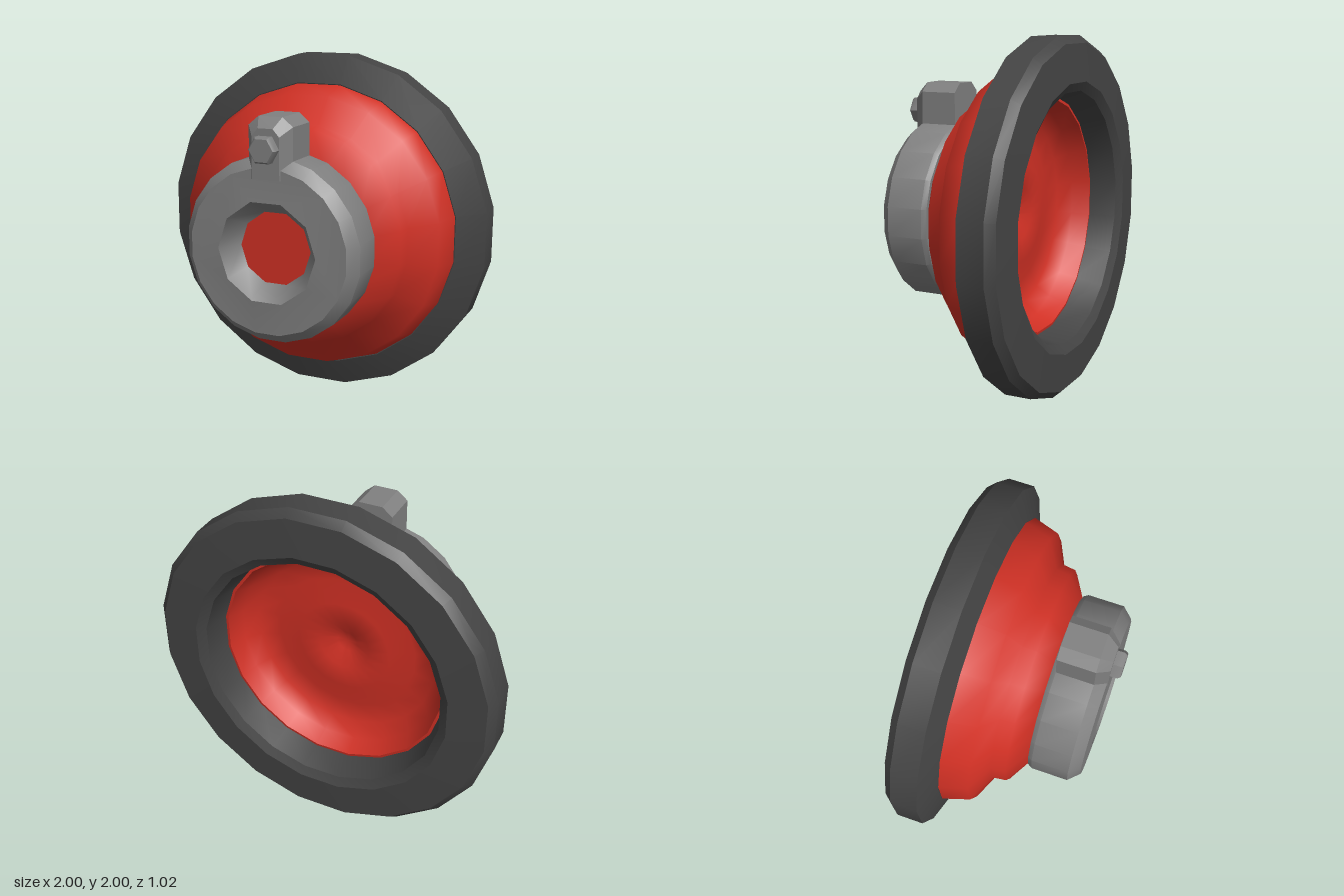
import * as THREE from 'three';
import { toCreasedNormals } from 'three/addons/utils/BufferGeometryUtils.js';

const red = new THREE.MeshStandardMaterial({ color: 0xd03024 });
const dark = new THREE.MeshStandardMaterial({ color: 0x444444 });
const steel = new THREE.MeshStandardMaterial({ color: 0x808080 });

// Spins a [radius to the flats, z] profile about the z axis, flats at top and bottom.
function turned(profile, sides, crease) {
  const k = 1 / Math.cos(Math.PI / sides);
  const points = profile.map(([r, z]) => new THREE.Vector2(r * k, z));
  const geometry = new THREE.LatheGeometry(points, sides, Math.PI / sides);
  geometry.rotateX(Math.PI / 2);
  return toCreasedNormals(geometry, crease);
}

// Regular polygon outline with flats at top and bottom.
function polygon(flatRadius, sides) {
  const r = flatRadius / Math.cos(Math.PI / sides);
  return Array.from({ length: sides }, (_, i) => {
    const a = Math.PI / 2 + (2 * i + 1) * Math.PI / sides;
    return new THREE.Vector2(r * Math.cos(a), r * Math.sin(a));
  });
}

export function createModel() {
  const model = new THREE.Group();
  const add = (name, geometry, material, y = 1, parent = model) => {
    const mesh = new THREE.Mesh(geometry, material);
    mesh.name = name;
    mesh.position.y = y;
    parent.add(mesh);
    return mesh;
  };

  // Thick outer rim with a bevelled back edge
  add('rim', turned([
    [0.66, -0.3], [0.7, -0.48], [0.75, -0.51], [0.96, -0.495], [1, -0.45],
    [1, -0.3], [0.84, -0.24], [0.66, -0.3],
  ].slice(0), 20, 0.6), dark);

  // Stepped body: dimpled hollow behind, two steps in front
  add('body', turned([
    [0, -0.11], [0.06, -0.12], [0.15, -0.165], [0.28, -0.175], [0.42, -0.14],
    [0.54, -0.16], [0.61, -0.23], [0.65, -0.33], [0.83, -0.3], [0.835, -0.24],
    [0.79, -0.09], [0.635, -0.015], [0.625, 0.065], [0.47, 0.16], [0, 0.16],
  ], 20, 1.05), red);

  // Clamp collar: outer band, front face and tapered socket
  const collar = new THREE.Group();
  collar.name = 'collar';
  model.add(collar);
  add('collarBand', turned([
    [0, 0.155], [0.5, 0.155], [0.515, 0.18], [0.515, 0.39], [0.46, 0.45],
  ], 20, 0.6), steel, 1, collar);

  const face = new THREE.Shape(polygon(0.46, 20));
  face.holes.push(new THREE.Path(polygon(0.276, 10)));
  const faceGeometry = new THREE.ShapeGeometry(face);
  const fp = faceGeometry.attributes.position;
  for (let i = 0; i < fp.count; i++) {
    fp.setZ(i, Math.hypot(fp.getX(i), fp.getY(i)) < 0.35 ? 0.46 : 0.45);
  }
  faceGeometry.computeVertexNormals();
  add('collarFace', faceGeometry, steel, 1, collar);
  add('socketWall', turned([[0.276, 0.46], [0.2, 0.34]], 10, 0.7), steel, 1, collar);
  add('socketFloor', turned([[0.2, 0.34], [0, 0.34]], 10, 0.7), red, 1, collar);

  // Clamp lug: chamfered block whose front end narrows
  const lugShape = new THREE.Shape([
    [-0.13, 0], [0.13, 0], [0.13, 0.28], [0.07, 0.33], [-0.07, 0.33], [-0.13, 0.28],
  ].map(([x, y]) => new THREE.Vector2(x, y)));
  const lug = new THREE.ExtrudeGeometry(lugShape, { depth: 0.27, steps: 2, bevelEnabled: false });
  const lp = lug.attributes.position;
  for (let i = 0; i < lp.count; i++) {
    const z = lp.getZ(i);
    if (z > 0.2) lp.setXYZ(i, lp.getX(i) * 0.62, lp.getY(i) * 0.83, 0.455);
    else lp.setZ(i, z > 0.1 ? 0.39 : 0.18);
  }
  add('clampLug', toCreasedNormals(lug, 0.3), steel, 1.4);

  // Hexagonal bolt head
  add('bolt', turned([
    [0.07, 0.44], [0.07, 0.495], [0.06, 0.51], [0, 0.51],
  ], 6, 0.7), steel, 1.565);

  return model;
}
